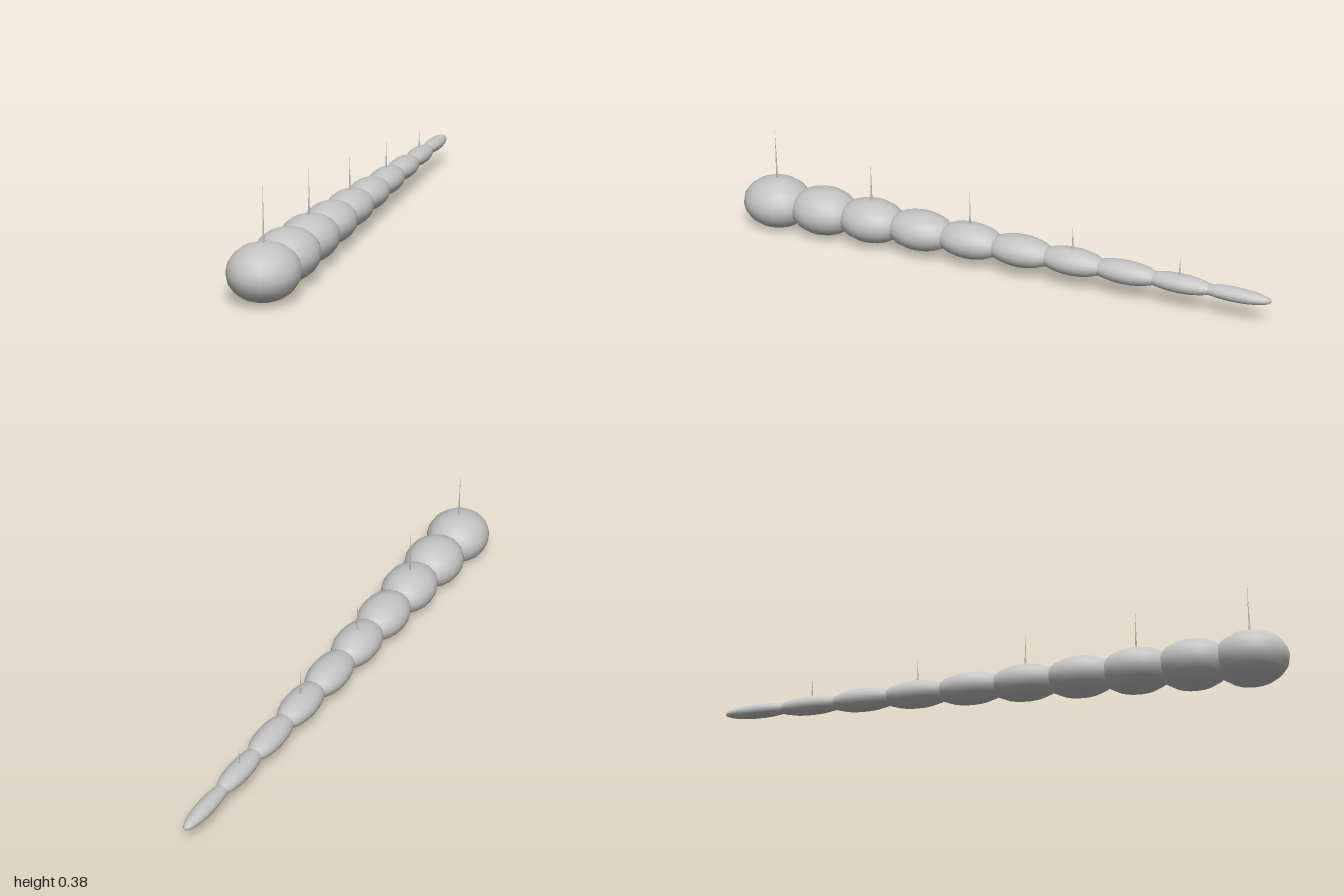
import * as THREE from 'three';

export function createModel() {
  const model = new THREE.Group();
  model.name = 'segmentedWorm';
  const grey = new THREE.MeshStandardMaterial({ color: 0xc4c4c4 });
  grey.name = 'grey';

  const count = 10;
  const r = 2 / 15.5;          // half-length of each segment
  const centreY = 0.093;
  const ball = new THREE.SphereGeometry(1, 20, 10);

  for (let i = 0; i < count; i++) {
    const scale = 1 - 0.082 * i;          // slimmer towards the tail
    const z = 1 - r - i * r * 1.5;
    const height = 0.72 * r * scale;

    // body segment
    const segment = new THREE.Mesh(ball, grey);
    segment.name = i === 0 ? 'headSegment' : 'bodySegment' + i;
    segment.scale.set(0.9 * r * scale, height, r);
    segment.position.set(0, centreY, z);
    model.add(segment);

    // thin upright spine on every other segment
    if (i % 2 === 0) {
      const length = 0.194 * scale;
      const spine = new THREE.Mesh(new THREE.ConeGeometry(0.0035, length, 8), grey);
      spine.name = 'spine' + i / 2;
      spine.position.set(0, centreY + height - 0.003 + length / 2, z);
      model.add(spine);
    }
  }
  return model;
}
